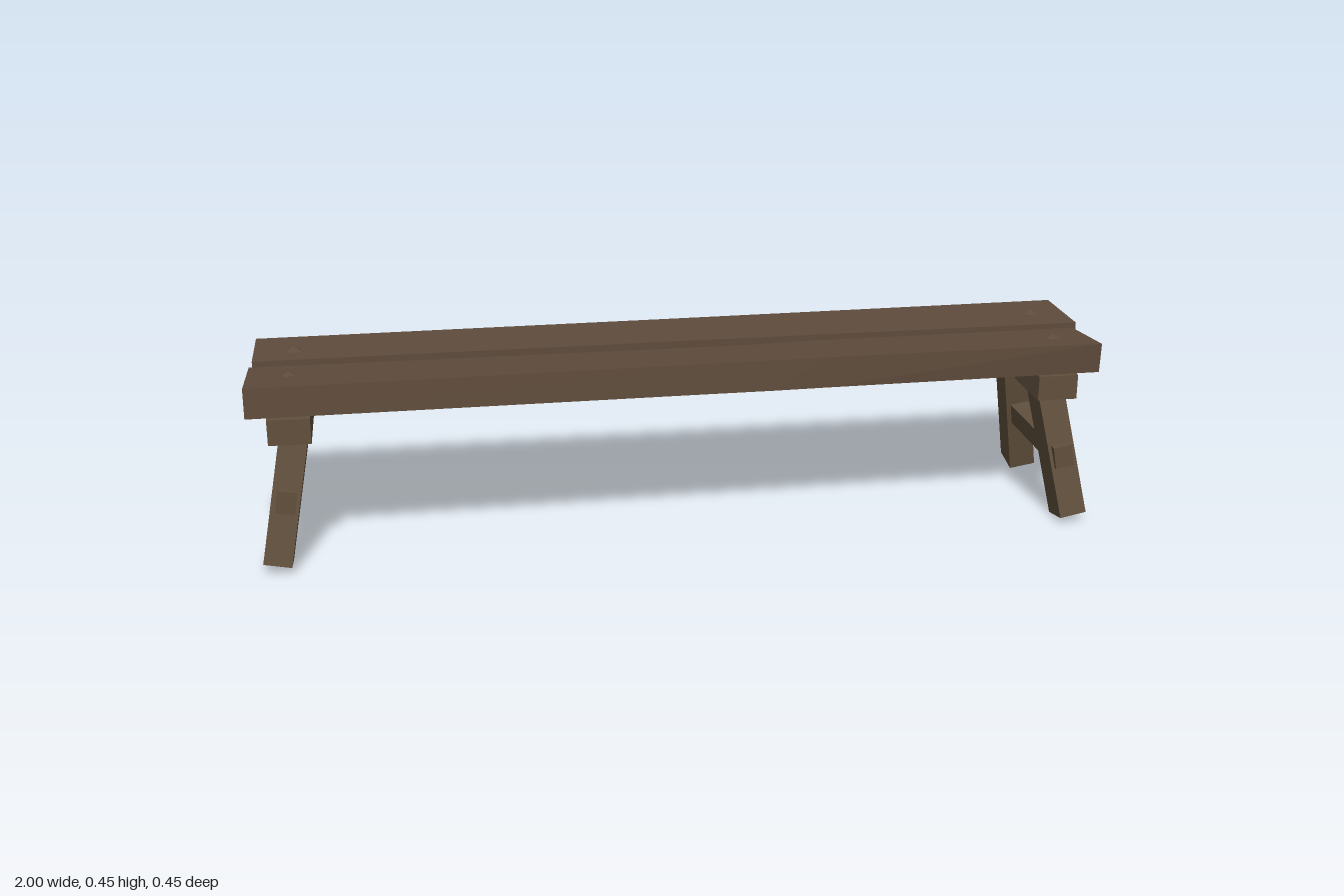
import * as THREE from 'three';

const plankWood = new THREE.MeshStandardMaterial({ color: 0x5f4c3c, flatShading: true });
plankWood.name = 'plank wood';
const frameWood = new THREE.MeshStandardMaterial({ color: 0x61503d, flatShading: true });
frameWood.name = 'frame wood';

function add(parent, name, geometry, material, x = 0, y = 0, z = 0) {
  const mesh = new THREE.Mesh(geometry, material);
  mesh.name = name;
  mesh.position.set(x, y, z);
  parent.add(mesh);
  return mesh;
}

// Uneven plank lofted along x. Each section is [x, corners], with corners as
// [z, y] pairs: front top, back top, back bottom, front bottom.
function plankGeometry(sections) {
  const positions = [];
  const quad = (a, b, c, d) => positions.push(...a, ...b, ...c, ...a, ...c, ...d);
  const rings = sections.map(([x, corners]) => corners.map(([z, y]) => [x, y, z]));
  for (let i = 0; i < rings.length - 1; i++) {
    for (let j = 0; j < 4; j++) {
      const k = (j + 1) % 4;
      quad(rings[i][j], rings[i + 1][j], rings[i + 1][k], rings[i][k]);
    }
  }
  const first = rings[0], last = rings[rings.length - 1];
  quad(first[0], first[1], first[2], first[3]);
  quad(last[0], last[3], last[2], last[1]);
  const geometry = new THREE.BufferGeometry();
  geometry.setAttribute('position', new THREE.Float32BufferAttribute(positions, 3));
  geometry.computeVertexNormals();
  return geometry;
}

// Trestle: crossbeam, two splayed legs and a stretcher through the legs.
function trestle(side) {
  const group = new THREE.Group();
  group.name = side > 0 ? 'leftTrestle' : 'rightTrestle';
  group.position.x = -0.0075;
  const beamLength = side > 0 ? 0.382 : 0.402;
  add(group, 'crossbeam', new THREE.BoxGeometry(0.096, 0.06, beamLength), frameWood,
    side * 0.9, 0.337, -0.2 + beamLength / 2);

  const lean = side * 0.18;
  const legGeometry = new THREE.BoxGeometry(0.065, 0.33, 0.078).translate(0, 0.165, 0);
  for (const end of [1, -1]) {
    const leg = add(group, end > 0 ? 'frontLeg' : 'backLeg', legGeometry, frameWood,
      side * 0.947, 0.014, end * 0.185);
    leg.rotation.set(-end * 0.2, 0, lean);
  }
  const stretcher = add(group, 'stretcher', new THREE.BoxGeometry(0.045, 0.054, 0.416),
    frameWood, side * 0.918, 0.169, 0);
  stretcher.rotation.z = lean;
  return group;
}

export function createModel() {
  const model = new THREE.Group();
  model.name = 'bench';

  // Front plank, tilted toward the gap and wider at one end
  add(model, 'frontPlank', plankGeometry([
    [-1, [[0.216, 0.449], [0.0, 0.427], [0.007, 0.367], [0.222, 0.38]]],
    [0.0, [[0.195, 0.446], [0.012, 0.427], [0.018, 0.364], [0.2, 0.374]]],
    [0.2, [[0.193, 0.446], [0.011, 0.427], [0.017, 0.364], [0.197, 0.373]]],
    [0.32, [[0.192, 0.446], [0.001, 0.426], [0.007, 0.365], [0.194, 0.373]]],
    [0.99, [[0.191, 0.445], [0.0, 0.426], [0.006, 0.366], [0.186, 0.373]]],
  ]), plankWood);

  // Back plank, level and widening toward the other end
  add(model, 'backPlank', plankGeometry([
    [-0.993, [[-0.012, 0.437], [-0.19, 0.437], [-0.19, 0.366], [-0.012, 0.367]]],
    [0.0, [[-0.012, 0.437], [-0.196, 0.437], [-0.196, 0.362], [-0.012, 0.364]]],
    [1, [[-0.007, 0.437], [-0.206, 0.437], [-0.206, 0.364], [-0.007, 0.367]]],
  ]), plankWood);

  for (const side of [1, -1]) model.add(trestle(side));

  // Low faceted pegs over the crossbeams
  const pegGeometry = new THREE.ConeGeometry(0.026, 0.012, 6);
  for (const [x, z, tilt] of [[0.9, 0.098, -0.1], [-0.905, 0.098, -0.1],
    [0.915, -0.105, 0], [-0.9, -0.086, 0]]) {
    const peg = add(model, 'peg', pegGeometry, plankWood, x, z > 0 ? 0.4395 : 0.441, z);
    peg.rotation.x = tilt;
  }
  return model;
}
